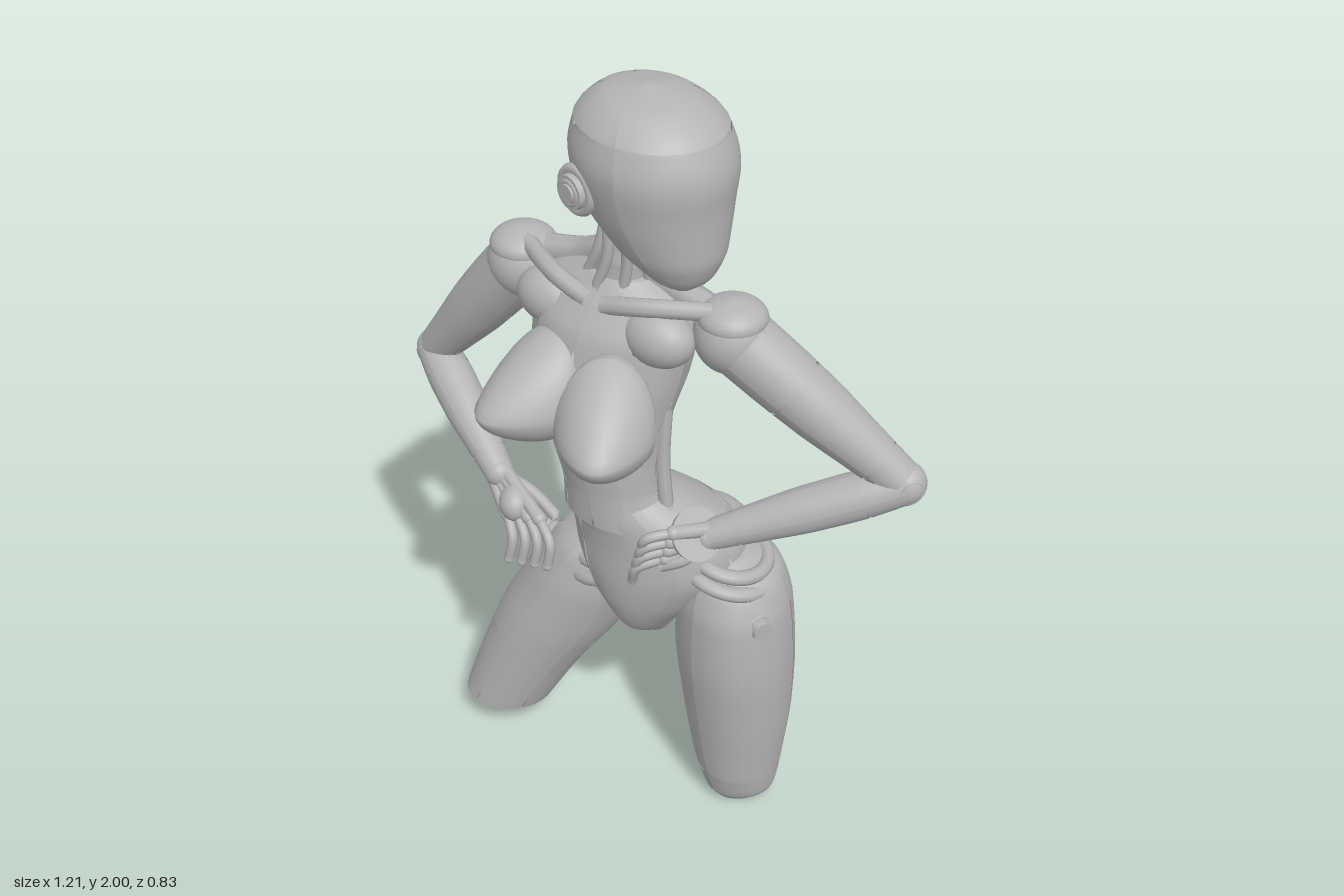
import * as THREE from 'three';

const grey = new THREE.MeshStandardMaterial({ color: 0xb4b4b4, side: THREE.DoubleSide });
grey.name = 'shell grey';

const rad = THREE.MathUtils.degToRad;
const vec = (p) => new THREE.Vector3(...p);

function part(name, geometry, parent, position = [0, 0, 0]) {
  const m = new THREE.Mesh(geometry, grey);
  m.name = name;
  m.position.set(...position);
  parent.add(m);
  return m;
}

// Smooth skin patch through rings [y, x, z, rx, rz], between t0..t1 and angles a0..a1 (90 = front).
function skin(rings, yaw, scale, t0, t1, a0, a1, closed) {
  const centre = new THREE.CatmullRomCurve3(rings.map((r) => new THREE.Vector3(r[1], r[0], r[2])));
  const radius = new THREE.CatmullRomCurve3(rings.map((r) => new THREE.Vector3(r[3], r[4], 0)));
  const rows = Math.max(4, Math.round((t1 - t0) * rings.length * 4));
  const cols = Math.max(5, Math.round((a1 - a0) / 10));
  const c = Math.cos(yaw), s = Math.sin(yaw), w = cols + 1;
  const pos = [], idx = [];
  for (let i = 0; i <= rows; i++) {
    const t = t0 + (t1 - t0) * i / rows, p = centre.getPoint(t), r = radius.getPoint(t);
    for (let j = 0; j <= cols; j++) {
      const a = rad(a0 + (a1 - a0) * j / cols);
      const x = r.x * scale * Math.cos(a), z = r.y * scale * Math.sin(a);
      pos.push(p.x + x * c + z * s, p.y, p.z - x * s + z * c);
      if (i < rows && j < cols) {
        const k = i * w + j;
        idx.push(k, k + w, k + 1, k + 1, k + w, k + w + 1);
      }
    }
  }
  if (closed) [0, rows].forEach((i) => {
    const p = centre.getPoint(i ? t1 : t0), n = pos.length / 3;
    pos.push(p.x, p.y, p.z);
    for (let j = 0; j < cols; j++) {
      const k = i * w + j;
      idx.push(...(i ? [k, n, k + 1] : [k, k + 1, n]));
    }
  });
  const g = new THREE.BufferGeometry();
  g.setAttribute('position', new THREE.Float32BufferAttribute(pos, 3));
  g.setIndex(idx);
  g.computeVertexNormals();
  return g;
}

// Inner core covered by shell plates with narrow seams.
function plated(name, rings, parent, { yaw = 0, angles = [0, 90, 180, 270], bands = [0, 1], gap = 1.2 } = {}) {
  const g = new THREE.Group();
  g.name = name;
  parent.add(g);
  part(name + 'Core', skin(rings, yaw, 0.94, 0, 1, 0, 360, true), g);
  for (let b = 0; b + 1 < bands.length; b++) {
    const t0 = bands[b] + (b ? 0.006 : 0);
    const t1 = bands[b + 1] - (b + 2 < bands.length ? 0.006 : 0);
    angles.forEach((a, i) => {
      const end = i + 1 < angles.length ? angles[i + 1] : angles[0] + 360;
      part(name + 'Plate', skin(rings, yaw, 1, t0, t1, a + gap, end - gap, false), g);
    });
  }
  return g;
}

// Plated limb from a to b; profile rows are [fraction, radius].
function limb(name, a, b, profile, parent, options) {
  const d = vec(b).sub(vec(a)), len = d.length();
  const g = plated(name, profile.map(([t, r]) => [t * len, 0, 0, r, r]), parent, options);
  g.position.set(...a);
  g.quaternion.setFromUnitVectors(new THREE.Vector3(0, 1, 0), d.normalize());
  return g;
}

function ball(name, p, scale, parent, yaw = 0) {
  const m = part(name, new THREE.SphereGeometry(1, 28, 18), parent, p);
  m.scale.set(...scale);
  m.rotation.y = yaw;
  return m;
}

function tube(name, points, r, parent) {
  return part(name, new THREE.TubeGeometry(new THREE.CatmullRomCurve3(points.map(vec)), 10, r, 8), parent);
}

// Round joint: drum with a raised rim, its axis along dir.
function knob(name, p, dir, r, depth, parent) {
  const g = new THREE.Group();
  g.name = name;
  g.position.set(...p);
  g.quaternion.setFromUnitVectors(new THREE.Vector3(0, 1, 0), vec(dir).normalize());
  part(name + 'Drum', new THREE.CylinderGeometry(r * 0.7, r * 0.8, depth, 20), g);
  part(name + 'Rim', new THREE.TorusGeometry(r * 0.85, r * 0.22, 8, 24).rotateX(Math.PI / 2), g);
  parent.add(g);
}

function buildHead(root) {
  const head = new THREE.Group();
  head.name = 'head';
  head.position.set(-0.012, 0, 0.118);
  head.rotation.y = rad(39);
  root.add(head);
  plated('skull', [
    [1.57, 0, 0.1, 0.025, 0.022], [1.6, 0, 0.095, 0.068, 0.065], [1.66, 0, 0.055, 0.115, 0.132],
    [1.75, 0, 0.012, 0.152, 0.178], [1.85, 0, 0, 0.17, 0.195], [1.93, 0, -0.008, 0.152, 0.175],
    [1.98, 0, -0.015, 0.095, 0.112], [2, 0, -0.015, 0.012, 0.015],
  ], head, { angles: [18, 162, 245, 295], bands: [0, 0.7, 1], gap: 1 });
  for (const s of [-1, 1]) {
    knob('ear', [s * 0.158, 1.79, -0.06], [s, 0, 0], 0.055, 0.045, head);
    knob('earCap', [s * 0.178, 1.79, -0.06], [s, 0, 0], 0.03, 0.02, head);
  }
  // Neck column and cables
  limb('neck', [-0.08, 1.46, -0.01], [-0.055, 1.7, 0.04], [[0, 0.075], [0.4, 0.055], [1, 0.055]], root);
  for (let i = 0; i < 8; i++) {
    const a = i * Math.PI / 4, c = Math.cos(a), s = Math.sin(a);
    tube('neckCable', [[-0.08 + 0.085 * c, 1.47, -0.01 + 0.075 * s], [-0.07 + 0.06 * c, 1.57, 0.015 + 0.06 * s],
      [-0.055 + 0.062 * Math.cos(a + 0.5), 1.68, 0.04 + 0.062 * Math.sin(a + 0.5)]], 0.013, root);
  }
}

function buildTorso(root) {
  const yaw = rad(-37);
  plated('torso', [
    [0.88, -0.09, 0.07, 0.15, 0.11], [0.97, -0.11, 0.07, 0.13, 0.1], [1.05, -0.12, 0.06, 0.14, 0.11],
    [1.15, -0.125, 0.035, 0.168, 0.13], [1.27, -0.11, 0.005, 0.198, 0.155], [1.38, -0.095, -0.01, 0.21, 0.15],
    [1.45, -0.085, -0.015, 0.19, 0.115], [1.5, -0.08, -0.01, 0.09, 0.075],
  ], root, { yaw, angles: [0, 50, 90, 130, 180, 235, 270, 305], bands: [0, 0.15, 0.29, 0.43, 0.85, 1] });
  plated('pelvis', [
    [0.48, 0, 0.045, 0.03, 0.04], [0.55, 0, 0.035, 0.08, 0.135], [0.65, 0.005, 0.03, 0.17, 0.18],
    [0.75, 0.01, 0.035, 0.22, 0.185], [0.83, -0.01, 0.045, 0.215, 0.165], [0.9, -0.06, 0.06, 0.175, 0.13],
    [0.95, -0.1, 0.07, 0.13, 0.1],
  ], root, { yaw: rad(-33), angles: [10, 55, 125, 170, 270], bands: [0, 0.72, 1] });
  ball('buttock', [0.12, 0.695, 0.015], [0.13, 0.15, 0.13], root, yaw);
  ball('buttock', [-0.02, 0.685, -0.08], [0.13, 0.15, 0.13], root, yaw);

  // Bust: rounded cones with a long upper slope
  for (const [p, turn] of [[[-0.125, 1.225, 0.265], -10], [[-0.295, 1.215, 0.1], -52]]) {
    const g = new THREE.SphereGeometry(0.115, 28, 20);
    const q = g.attributes.position;
    for (let i = 0; i < q.count; i++) {
      const x = q.getX(i), y = q.getY(i), z = q.getZ(i);
      const taper = 1 - 2.6 * Math.max(z, 0);
      const up = Math.max(y, 0);
      q.setXYZ(i, x * taper, y * taper * (y > 0 ? 1.35 : 0.9), z * (z > 0 ? 1.25 : 1) - up * 0.65);
    }
    g.computeVertexNormals();
    part('bust', g, root, p).rotation.y = rad(turn);
  }

  // Collar bones, shoulder muscles and waist rods
  const frame = new THREE.Group();
  frame.name = 'shoulderFrame';
  frame.position.set(-0.08, 0, -0.01);
  frame.rotation.y = yaw;
  root.add(frame);
  for (const s of [-1, 1]) {
    tube('collarBone', [[s * 0.02, 1.45, 0.1], [s * 0.12, 1.475, 0.09], [s * 0.26, 1.48, 0.02]], 0.022, frame);
    tube('shoulderMuscle', [[s * 0.05, 1.52, -0.01], [s * 0.13, 1.48, -0.02], [s * 0.27, 1.45, -0.01]], 0.035, frame);
    ball('chestPlate', [s * 0.15, 1.4, 0.07], [0.09, 0.07, 0.065], frame);
    tube('sideRod', [[s * 0.155, 1.2, 0.05], [0.03 + s * 0.125, 1.05, 0.06], [0.04 + s * 0.13, 0.92, 0.065]], 0.018, frame);
  }
}

function buildArm(root, side, shoulder, elbow, wrist, axis) {
  const arm = new THREE.Group();
  arm.name = side + 'Arm';
  root.add(arm);
  ball('shoulderPad', shoulder, [0.088, 0.092, 0.088], arm);
  ball('shoulderCap', [shoulder[0], shoulder[1] + 0.045, shoulder[2]], [0.08, 0.045, 0.08], arm);
  limb('upperArm', shoulder, elbow,
    [[0, 0.082], [0.25, 0.08], [0.5, 0.074], [0.75, 0.061], [0.97, 0.05]], arm, { bands: [0, 0.35, 0.85, 1] });
  ball('elbow', elbow, [0.05, 0.053, 0.05], arm);
  knob('elbowJoint', elbow, axis, 0.042, 0.085, arm);
  limb('forearm', elbow, wrist,
    [[0, 0.05], [0.25, 0.057], [0.5, 0.055], [0.75, 0.046], [1, 0.036]], arm, { bands: [0, 0.2, 0.85, 1] });
  ball('wrist', wrist, [0.037, 0.037, 0.037], arm);
  return arm;
}

// Palm plus four bent fingers and a thumb, fanned along spread.
function buildHand(arm, wrist, palm, bend, tip, spread, thumb) {
  const sp = vec(spread), at = (p, k) => vec(p).addScaledVector(sp, k).toArray();
  for (let i = 0; i < 4; i++) {
    const k = i - 1.5;
    tube('palmBone', [at(wrist, k * 0.5), at(palm, k)], 0.018, arm);
    tube('finger', [at(palm, k), at(bend, k * 1.15), at(tip, k * 1.2)], 0.0125, arm);
    ball('knuckle', at(palm, k), [0.018, 0.018, 0.018], arm);
    ball('fingerTip', at(tip, k * 1.2), [0.0125, 0.0125, 0.0125], arm);
  }
  tube('thumb', [wrist, ...thumb], 0.015, arm);
}

function buildLegs(root) {
  const opts = { angles: [20, 75, 140, 200, 290], gap: 0.9 };
  plated('leftThigh', [
    [0.003, 0.205, 0.19, 0.05, 0.025], [0.04, 0.21, 0.175, 0.088, 0.07], [0.12, 0.205, 0.15, 0.112, 0.115],
    [0.3, 0.2, 0.13, 0.138, 0.155], [0.5, 0.19, 0.12, 0.15, 0.18], [0.65, 0.185, 0.12, 0.142, 0.172],
    [0.74, 0.18, 0.12, 0.115, 0.135], [0.78, 0.17, 0.12, 0.05, 0.06],
  ], root, { ...opts, bands: [0, 0.27, 1] });
  plated('rightThigh', [
    [0.095, -0.4, -0.14, 0.118, 0.108], [0.25, -0.325, -0.14, 0.14, 0.135], [0.42, -0.23, -0.13, 0.165, 0.16],
    [0.55, -0.17, -0.11, 0.155, 0.16], [0.66, -0.13, -0.09, 0.125, 0.135], [0.72, -0.11, -0.07, 0.05, 0.06],
  ], root, { ...opts, bands: [0, 0.3, 1] });
  // Hip bands and side joints
  for (const [p, tilt, k] of [[[0.165, 0.745, 0.12], -0.25, [0.235, 0.65, 0.262]], [[-0.11, 0.665, -0.05], 0.5, [-0.275, 0.61, -0.165]]]) {
    for (const [dy, r] of [[0, 0.118], [0.035, 0.1]]) {
      const ring = part('hipBand', new THREE.TorusGeometry(r, 0.018, 10, 40).rotateX(Math.PI / 2), root, [p[0], p[1] + dy, p[2]]);
      ring.rotation.z = tilt;
      ring.scale.z = 1.12;
    }
    knob('hipJoint', k, [k[0] - p[0], 0, k[2] - p[2]], 0.036, 0.05, root);
  }
}

export function createModel() {
  const root = new THREE.Group();
  root.name = 'robotFigure';
  buildHead(root);
  buildTorso(root);

  const lw = [0.11, 0.925, 0.25];
  const left = buildArm(root, 'left', [0.16, 1.415, 0.15], [0.55, 1.095, 0.28], lw, [0.3, 0, 1]);
  buildHand(left, lw, [0.02, 0.92, 0.28], [-0.045, 0.9, 0.285], [-0.055, 0.85, 0.265], [0.006, 0.028, 0.004],
    [[0.06, 0.885, 0.285], [0, 0.855, 0.275]]);
  const disc = part('wristDisc', new THREE.CylinderGeometry(0.065, 0.06, 0.02, 32), left, [0.08, 0.94, 0.265]);
  disc.quaternion.setFromUnitVectors(new THREE.Vector3(0, 1, 0), new THREE.Vector3(0.45, 0.6, 0.66).normalize());

  const rw = [-0.39, 0.88, -0.06];
  const right = buildArm(root, 'right', [-0.31, 1.415, -0.18], [-0.555, 1.045, -0.365], rw, [-0.6, 0, 0.8]);
  ball('palm', [-0.35, 0.835, 0.005], [0.04, 0.045, 0.05], right);
  buildHand(right, rw, [-0.33, 0.82, 0.04], [-0.31, 0.78, 0.085], [-0.32, 0.715, 0.09], [0.027, 0.008, 0.018],
    [[-0.31, 0.85, -0.02], [-0.25, 0.81, 0.03]]);

  buildLegs(root);
  return root;
}
